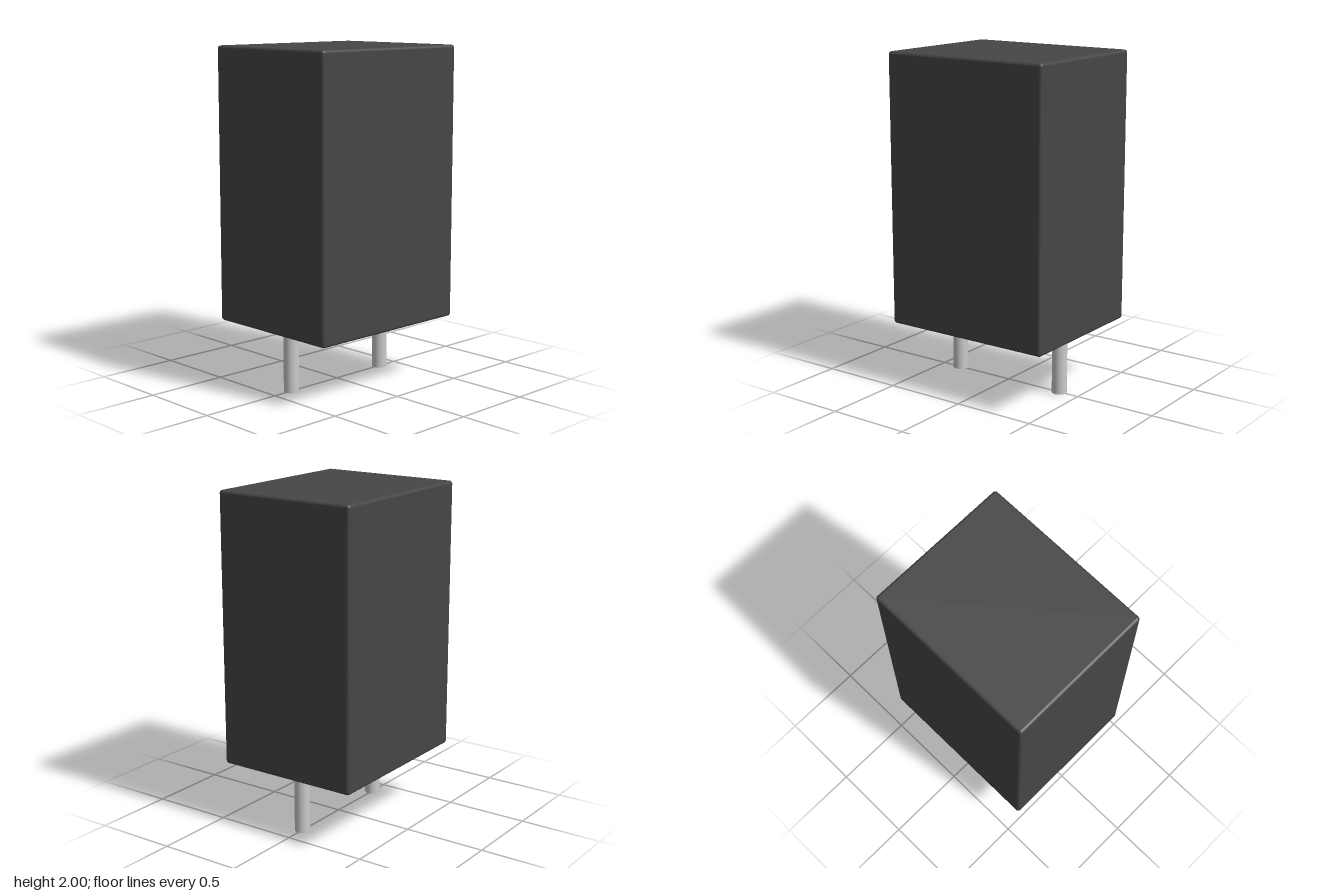
import * as THREE from 'three';
import { RoundedBoxGeometry } from 'three/addons/geometries/RoundedBoxGeometry.js';

export function createModel() {
  const model = new THREE.Group();
  model.name = 'boxCapacitor';

  const bodyMaterial = new THREE.MeshStandardMaterial({ color: 0x464646 });
  const pinMaterial = new THREE.MeshStandardMaterial({ color: 0xcccccc });

  // Moulded case with slightly rounded edges
  const bottom = 0.375, top = 2;
  const body = new THREE.Mesh(
    new RoundedBoxGeometry(1.064, top - bottom, 0.888, 4, 0.018),
    bodyMaterial
  );
  body.name = 'body';
  body.position.y = (bottom + top) / 2;
  model.add(body);

  // Two round pins, reaching a little way into the case
  const pinLength = bottom + 0.03;
  const pinGeometry = new THREE.CylinderGeometry(0.045, 0.045, pinLength, 32);
  for (const [name, x] of [['leftPin', 0.37], ['rightPin', -0.37]]) {
    const pin = new THREE.Mesh(pinGeometry, pinMaterial);
    pin.name = name;
    pin.position.set(x, pinLength / 2, 0);
    model.add(pin);
  }

  return model;
}
